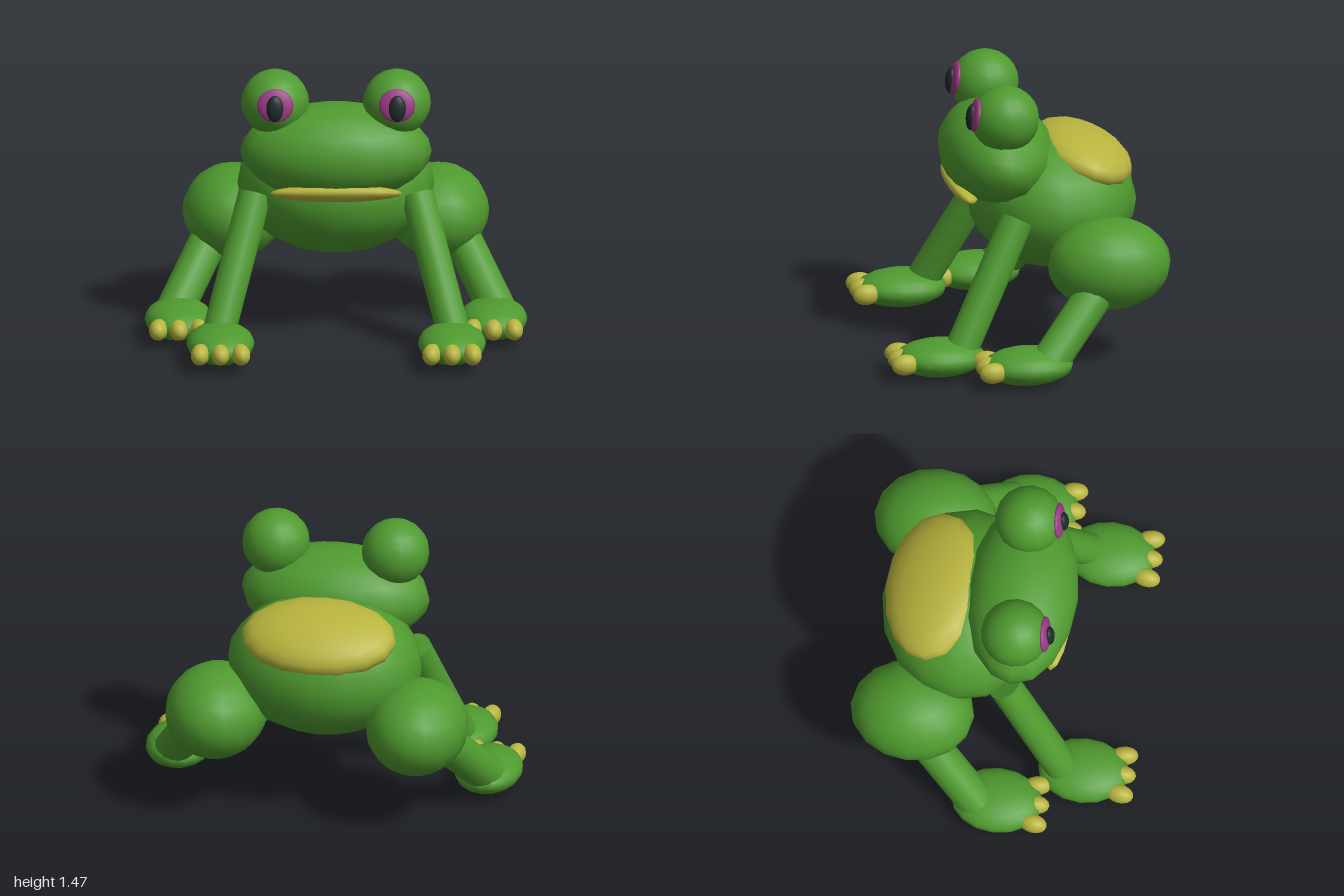
import * as THREE from 'three';

export function createModel() {
  const frog = new THREE.Group();
  frog.name = 'frog';
  const paint = (color) => new THREE.MeshStandardMaterial({ color });
  const green = paint(0x4f9a2f), yellow = paint(0xb8b43e), magenta = paint(0x9a3a85), black = paint(0x1f2a2c);
  const ball = new THREE.SphereGeometry(1, 16, 12);

  // A sphere stretched to the given radii
  function blob(name, material, position, radii, rotation = [0, 0, 0]) {
    const mesh = new THREE.Mesh(ball, material);
    mesh.name = name;
    mesh.position.set(...position);
    mesh.scale.set(...radii);
    mesh.rotation.set(...rotation);
    frog.add(mesh);
  }

  // A cylinder between two points
  function limb(name, from, to, radius) {
    const a = new THREE.Vector3(...from), b = new THREE.Vector3(...to);
    const axis = b.clone().sub(a);
    const mesh = new THREE.Mesh(new THREE.CylinderGeometry(radius, radius, axis.length(), 16), green);
    mesh.name = name;
    mesh.position.copy(a).add(b).multiplyScalar(0.5);
    mesh.quaternion.setFromUnitVectors(new THREE.Vector3(0, 1, 0), axis.normalize());
    frog.add(mesh);
  }

  // A flat foot with three toes, the outer ones splayed
  function foot(name, x, z) {
    blob(name, green, [x, 0.1, z], [0.178, 0.097, 0.24]);
    for (const i of [-1, 0, 1]) {
      blob(name + 'Toe', yellow, [x + i * 0.106, 0.1, z + 0.2], [0.049, 0.055, 0.075], [0, i * 0.15, 0]);
    }
  }

  // Trunk and head
  blob('body', green, [0, 0.765, -0.21], [0.515, 0.365, 0.44]);
  blob('backPatch', yellow, [0, 0.985, -0.375], [0.41, 0.135, 0.27], [-0.33, 0, 0]);
  blob('head', green, [0, 1.03, 0.085], [0.5, 0.257, 0.295]);
  blob('mouth', yellow, [0, 0.855, 0.275], [0.345, 0.045, 0.085], [-0.4, 0, 0]);

  for (const [side, s] of [['left', 1], ['right', -1]]) {
    // Eyes
    blob(side + 'Eye', green, [s * 0.318, 1.296, 0.085], [0.178, 0.175, 0.18]);
    blob(side + 'Iris', magenta, [s * 0.318, 1.325, 0.242], [0.095, 0.088, 0.026], [-0.2, 0, 0]);
    blob(side + 'Pupil', black, [s * 0.32, 1.315, 0.265], [0.045, 0.07, 0.028], [-0.1, 0, 0]);

    // Front leg
    limb(side + 'FrontLeg', [s * 0.425, 0.775, 0.04], [s * 0.62, 0.1, 0.385], 0.088);
    foot(side + 'FrontFoot', s * 0.605, 0.48);

    // Hind leg
    blob(side + 'Thigh', green, [s * 0.535, 0.543, -0.43], [0.267, 0.243, 0.325]);
    limb(side + 'Shin', [s * 0.665, 0.41, -0.325], [s * 0.85, 0.1, -0.045], 0.1);
    foot(side + 'HindFoot', s * 0.822, 0.05);
  }
  return frog;
}
